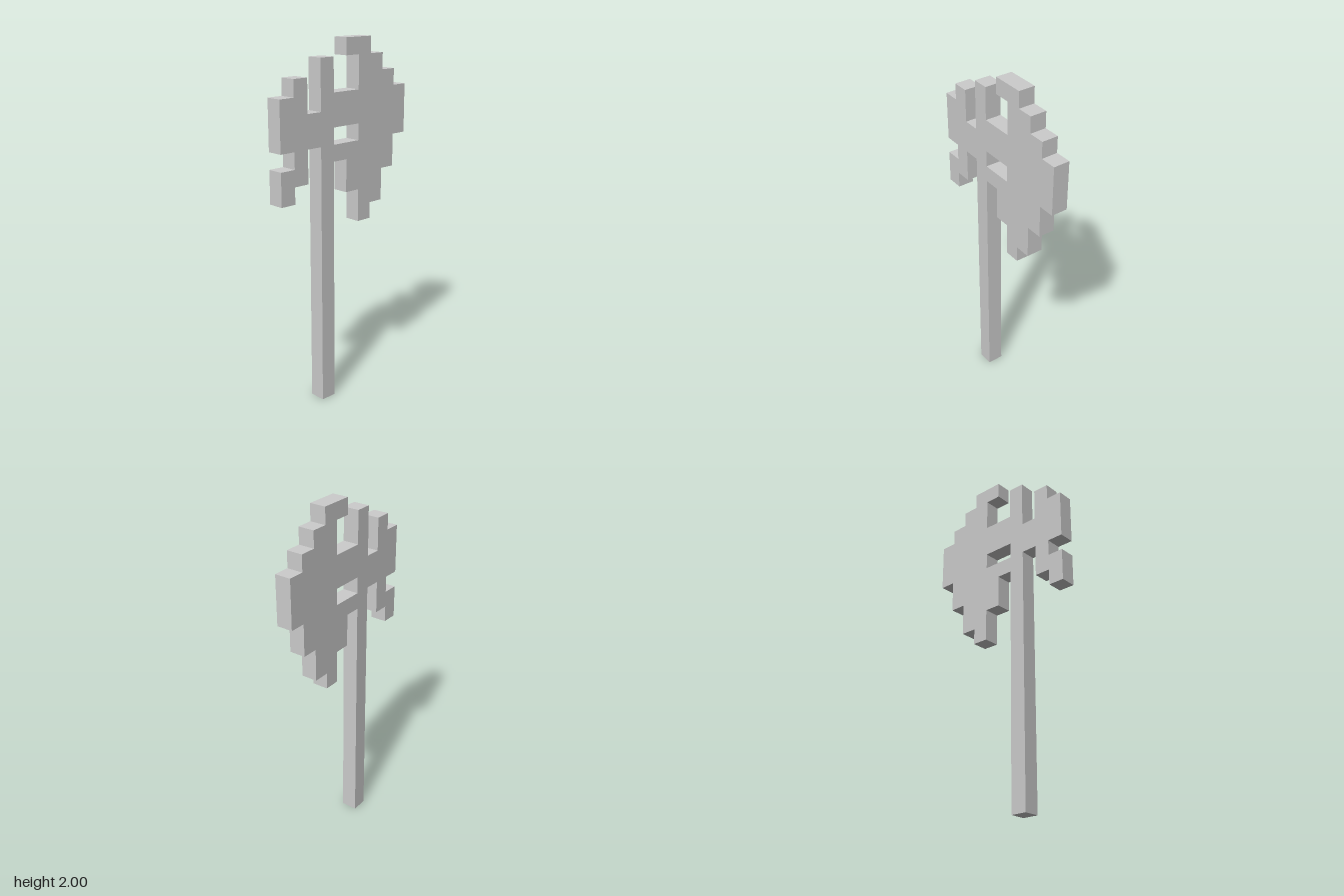
import * as THREE from 'three';

// The axe is laid out on a square grid: 22 cells tall, one cell thick.
const CELL = 2 / 22;

// Extrudes a stepped outline, given in grid cells, to one cell of thickness.
function slab(name, outline) {
  const shape = new THREE.Shape(outline.map(([x, y]) => new THREE.Vector2(x * CELL, y * CELL)));
  const geometry = new THREE.ExtrudeGeometry(shape, { depth: CELL, bevelEnabled: false });
  geometry.translate(0, 0, -CELL / 2);
  const material = new THREE.MeshStandardMaterial({ color: 0xcccccc, flatShading: true });
  const mesh = new THREE.Mesh(geometry, material);
  mesh.name = name;
  return mesh;
}

export function createModel() {
  const axe = new THREE.Group();
  axe.name = 'axe';

  // Straight shaft, ending in a short spike above the head
  axe.add(slab('handle', [[-2, 0], [-1, 0], [-1, 21], [-2, 21]]));

  // Small hooked blade on the -x side
  axe.add(slab('smallBlade', [
    [-5, 13], [-4, 13], [-4, 14], [-3, 14], [-3, 16], [-2, 16], [-2, 18], [-3, 18],
    [-3, 20], [-4, 20], [-4, 19], [-5, 19], [-5, 16], [-4, 16], [-4, 15], [-5, 15],
  ]));

  // Large crescent blade on the +x side, joined to the shaft by two arms with a slot between
  axe.add(slab('largeBlade', [
    [-1, 15], [0, 15], [0, 13], [1, 13], [1, 11], [2, 11], [2, 12], [3, 12], [3, 14], [4, 14],
    [4, 16], [5, 16], [5, 19], [4, 19], [4, 20], [3, 20], [3, 21], [2, 21], [2, 22], [0, 22],
    [0, 21], [1, 21], [1, 19], [-1, 19], [-1, 17], [1, 17], [1, 16], [-1, 16],
  ]));

  return axe;
}
